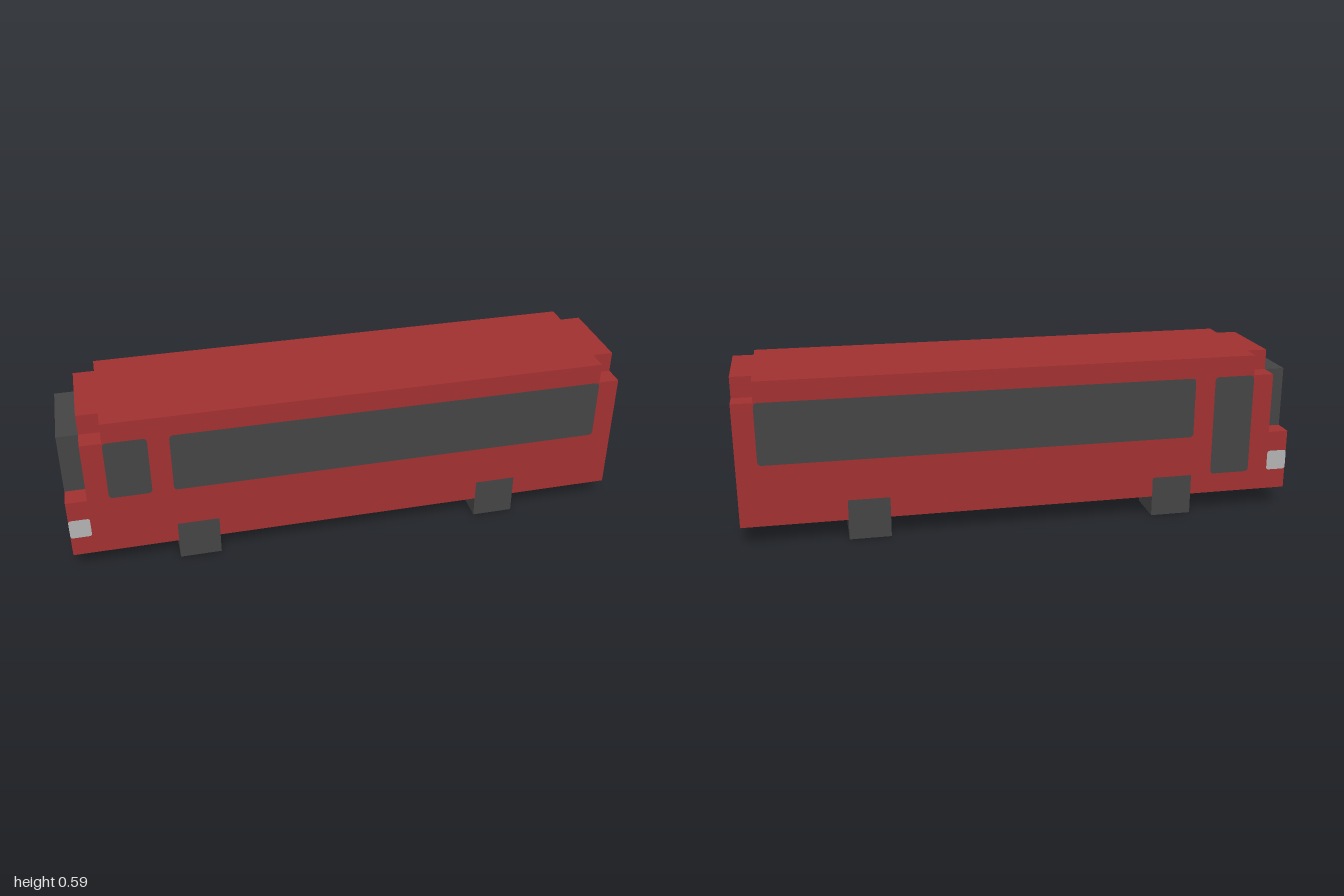
import * as THREE from 'three';

const U = 2 / 27; // one block
const X = (i) => -1 + i * U; // block index along the length
const Y = (j) => j * U;

export function createModel() {
  const mat = (name, color) => {
    const m = new THREE.MeshStandardMaterial({ color });
    m.name = name;
    return m;
  };
  const red = mat('body red', 0xa03030);
  const dark = mat('dark grey', 0x444444);
  const silver = mat('lamp grey', 0xb2b2b2);

  const bus = new THREE.Group();
  bus.name = 'bus';
  const add = (name, geometry, material) => {
    const mesh = new THREE.Mesh(geometry, material);
    mesh.name = name;
    bus.add(mesh);
    return mesh;
  };

  // Box given by block indices; z is measured from the centre line
  const block = (name, material, x0, x1, y0, y1, z0, z1) => {
    const g = new THREE.BoxGeometry((x1 - x0) * U, (y1 - y0) * U, (z1 - z0) * U);
    add(name, g, material).position.set(X((x0 + x1) / 2), Y((y0 + y1) / 2), ((z0 + z1) / 2) * U);
  };

  // Flat panel with slightly rounded corners, centred on its origin
  const panel = (w, h, r) => {
    const a = w / 2, b = h / 2;
    const s = new THREE.Shape();
    s.moveTo(-a + r, -b);
    s.lineTo(a - r, -b);
    s.quadraticCurveTo(a, -b, a, -b + r);
    s.lineTo(a, b - r);
    s.quadraticCurveTo(a, b, a - r, b);
    s.lineTo(-a + r, b);
    s.quadraticCurveTo(-a, b, -a, b - r);
    s.lineTo(-a, -b + r);
    s.quadraticCurveTo(-a, -b, -a + r, -b);
    return new THREE.ShapeGeometry(s, 4);
  };
  const LIFT = 0.0015;
  const sidePanel = (name, material, side, x0, x1, y0, y1, r = 0.015) => {
    const m = add(name, panel((x1 - x0) * U, (y1 - y0) * U, r), material);
    m.position.set(X((x0 + x1) / 2), Y((y0 + y1) / 2), side * (3 * U + LIFT));
    if (side < 0) m.rotation.y = Math.PI;
  };
  const endPanel = (name, material, end, z0, z1, y0, y1, r = 0.015) => {
    const m = add(name, panel((z1 - z0) * U, (y1 - y0) * U, r), material);
    m.position.set(end * (1 + LIFT), Y((y0 + y1) / 2), ((z0 + z1) / 2) * U);
    m.rotation.y = end * Math.PI / 2;
  };

  // Body and projecting windscreen
  block('lowerBody', red, 0, 27, 1, 4, -3, 3);
  block('upperBody', red, 1, 27, 4, 7, -3, 3);
  block('windscreen', dark, 0, 1, 4, 7, -2, 2);
  endPanel('windscreenFront', dark, -1, -2, 2, 3, 7, 0.008);

  // Roof slab with its four corners notched out
  const outline = [[1, 2], [2, 2], [2, 3], [26, 3], [26, 2], [27, 2],
    [27, -2], [26, -2], [26, -3], [2, -3], [2, -2], [1, -2]];
  const roofShape = new THREE.Shape(outline.map(([x, z]) => new THREE.Vector2(X(x), z * U)));
  const roof = new THREE.ExtrudeGeometry(roofShape, { depth: U, bevelEnabled: false });
  roof.rotateX(-Math.PI / 2);
  add('roof', roof, red).position.y = Y(7);

  // Rear window
  endPanel('rearWindow', dark, 1, -2, 2, 4, 7);

  for (const side of [1, -1]) {
    // Long side window, plus a small window on one side and a door on the other
    sidePanel('sideWindow', dark, side, 5, 26, 4, 7);
    sidePanel(side > 0 ? 'cabWindow' : 'door', dark, side, 2, 4, side > 0 ? 4 : 2, 7);

    // Lamps wrapping round the front corners
    sidePanel('lampSide', silver, side, 0, 1, 2, 3, 0.01);
    endPanel('lampFront', silver, -1, side > 0 ? 1 : -3, side > 0 ? 3 : -1, 2, 3, 0.02);

    // Wheels, with the flush upper half shown on the body side
    for (const x of [5, 20]) {
      block('wheel', dark, x, x + 2, 0, 1, side > 0 ? 1 : -3, side > 0 ? 3 : -1);
      sidePanel('wheelFace', dark, side, x, x + 2, 0, 2, 0.001);
    }
  }
  return bus;
}
